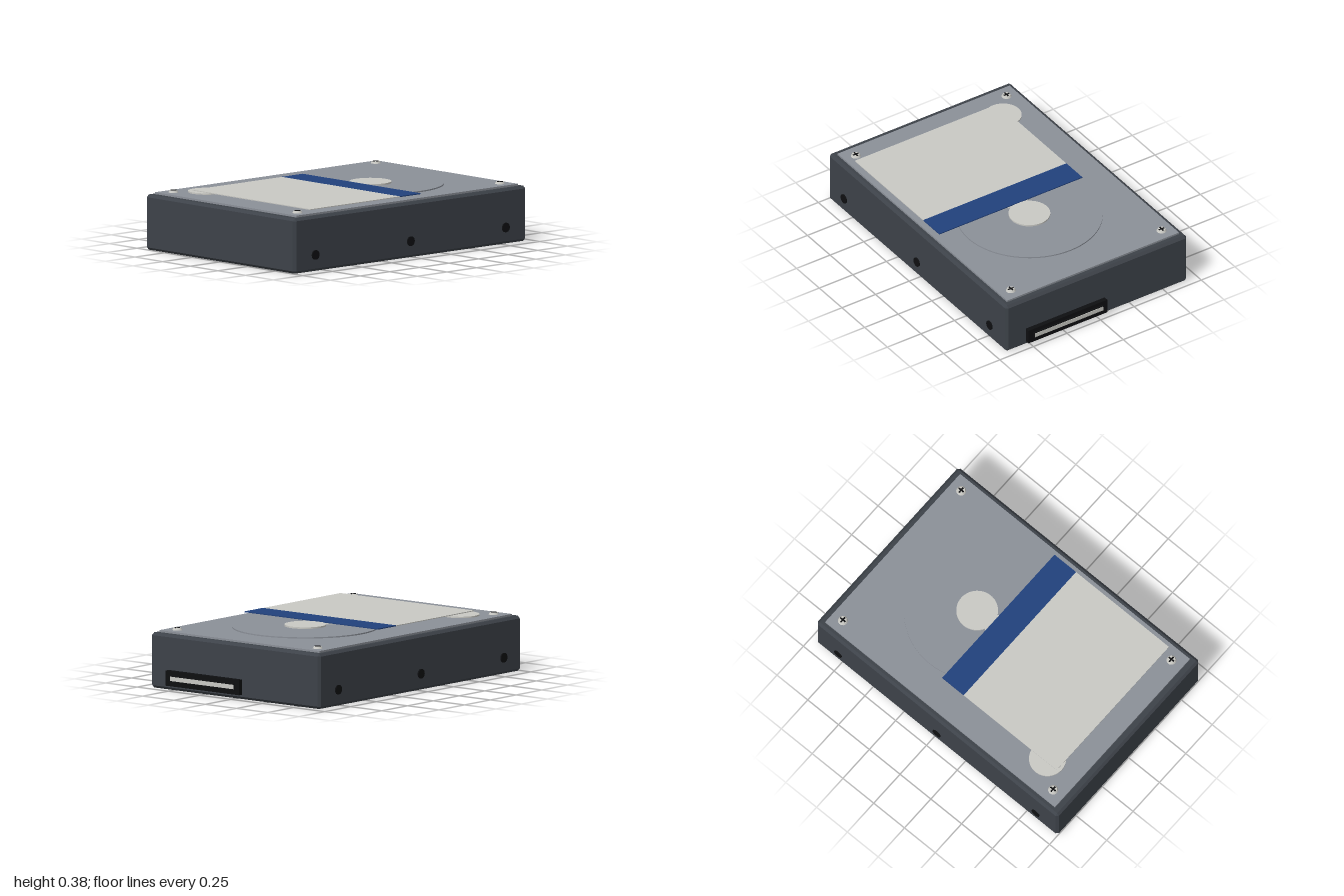
import * as THREE from 'three';
import { ConvexGeometry } from 'three/addons/geometries/ConvexGeometry.js';

const mat = (name, color) => {
  const m = new THREE.MeshStandardMaterial({ color });
  m.name = name;
  return m;
};

export function createModel() {
  const root = new THREE.Group();
  root.name = 'hardDrive';
  const dark = mat('darkCasing', 0x3d4249);
  const steel = mat('steelCover', 0x8b9098);
  const pale = mat('paleLabel', 0xc9c9c4);
  const blue = mat('blueStripe', 0x21417c);
  const black = mat('black', 0x0e0f11);

  const add = (name, geometry, material, x, y, z, parent = root) => {
    const mesh = new THREE.Mesh(geometry, material);
    mesh.name = name;
    mesh.position.set(x, y, z);
    parent.add(mesh);
    return mesh;
  };
  // Box and upright disc given by their bottom and top heights
  const slab = (name, m, x0, x1, y0, y1, z0, z1) =>
    add(name, new THREE.BoxGeometry(x1 - x0, y1 - y0, z1 - z0), m,
      (x0 + x1) / 2, (y0 + y1) / 2, (z0 + z1) / 2);
  const disc = (name, m, x, z, r, y0, y1) =>
    add(name, new THREE.CylinderGeometry(r, r, y1 - y0, 64), m, x, (y0 + y1) / 2, z);

  // Casing: a box with every edge chamfered
  const half = [0.675, 0.1725, 0.98];
  const bevel = 0.016;
  const points = [];
  for (const sx of [-1, 1]) for (const sy of [-1, 1]) for (const sz of [-1, 1]) {
    for (let axis = 0; axis < 3; axis++) {
      const p = half.map((h, i) => (i === axis ? h : h - bevel));
      points.push(new THREE.Vector3(p[0] * sx, p[1] * sy, p[2] * sz));
    }
  }
  add('casing', new ConvexGeometry(points), dark, 0, 0.1725, 0.02);

  // Cover plate with raised discs
  slab('coverPlate', steel, -0.64, 0.64, 0.34, 0.357, -0.917, 0.95);
  disc('platterRelief', steel, 0.023, -0.25, 0.453, 0.35, 0.365);
  disc('spindleHub', pale, 0.023, -0.25, 0.129, 0.36, 0.375);
  disc('hubNeck', pale, 0.023, -0.03, 0.12, 0.36, 0.37);
  disc('pivotCap', pale, -0.43, 0.71, 0.115, 0.35, 0.366);

  // Label and its coloured band
  slab('label', pale, -0.455, 0.61, 0.373, 0.378, 0.05, 0.805);
  slab('labelBand', blue, -0.455, 0.61, 0.373, 0.379, -0.125, 0.05);

  // Cover screws with cross slots
  const headGeo = new THREE.CylinderGeometry(0.024, 0.031, 0.013, 24);
  const slotGeo = new THREE.BoxGeometry(0.042, 0.002, 0.01);
  for (const x of [-0.562, 0.56]) for (const z of [-0.84, 0.868]) {
    const screw = new THREE.Group();
    screw.name = 'coverScrew';
    screw.position.set(x, 0.357, z);
    add('screwHead', headGeo, pale, 0, 0.0065, 0, screw);
    add('screwSlot', slotGeo, black, 0, 0.0135, 0, screw);
    add('screwSlot', slotGeo, black, 0, 0.0137, 0, screw).rotation.y = Math.PI / 2;
    root.add(screw);
  }

  // Mounting holes along both sides
  const holeGeo = new THREE.CylinderGeometry(0.03, 0.03, 0.02, 24).rotateZ(Math.PI / 2);
  for (const side of [-1, 1]) for (const z of [-0.78, 0.022, 0.825]) {
    add('mountingHole', holeGeo, black, side * 0.673, 0.103, z);
  }

  // Rear connector with its contact strip
  slab('connector', black, -0.057, 0.53, 0.03, 0.125, -0.99, -0.95);
  slab('connectorTongue', black, -0.025, 0.492, 0.058, 0.1, -0.997, -0.985);
  slab('connectorContacts', pale, -0.02, 0.487, 0.065, 0.092, -1, -0.994);

  return root;
}
